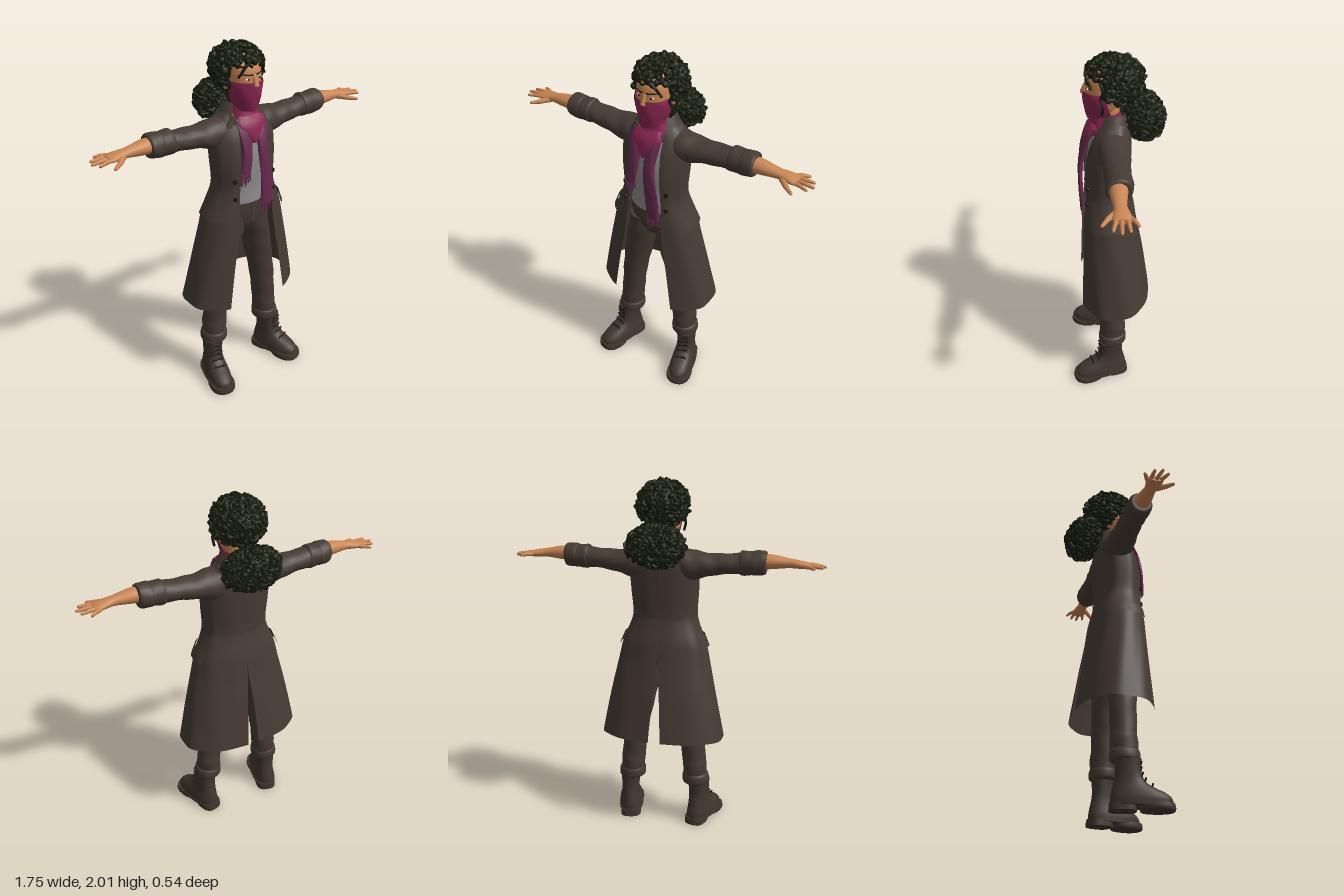
import * as THREE from 'three';
import { mergeGeometries } from 'three/addons/utils/BufferGeometryUtils.js';

const mat = (name, color, side = THREE.FrontSide) => {
  const m = new THREE.MeshStandardMaterial({ color, side });
  m.name = name;
  return m;
};
const cubic = (a, b, c, d, t) =>
  b + 0.5 * t * (c - a + t * (2 * a - 5 * b + 4 * c - d + t * (3 * (b - c) + d - a)));

// Skin through elliptical rings listed bottom to top: [y, cx, cz, rx, rz, startAngle, endAngle].
// Angle 0 faces +z and grows toward +x. fold = [amount, waves round, waves per unit of y].
function loft(rows, { seg = 24, sub = 3, e = 1, open = false, caps = true, fold = [0, 1, 0], tilt = 0 } = {}) {
  const rings = [];
  for (let i = 0; i < rows.length - 1; i++) {
    const P = [-1, 0, 1, 2].map(k => rows[Math.min(Math.max(i + k, 0), rows.length - 1)]);
    for (let s = 0; s < sub; s++) rings.push(rows[i].map((_, c) => cubic(P[0][c], P[1][c], P[2][c], P[3][c], s / sub)));
  }
  rings.push(rows[rows.length - 1]);
  const pos = [], idx = [], n = open ? seg + 1 : seg;
  const pw = v => Math.sign(v) * Math.abs(v) ** e;
  for (const [y, cx, cz, rx, rz, a0 = 0, a1 = Math.PI * 2] of rings)
    for (let j = 0; j < n; j++) {
      const a = a0 + (a1 - a0) * j / seg;
      const k = 1 + fold[0] * Math.sin(fold[1] * a + fold[2] * y);
      const z = cz + rz * k * pw(Math.cos(a));
      pos.push(cx + rx * k * pw(Math.sin(a)), y + tilt * z, z);
    }
  for (let i = 0; i < rings.length - 1; i++)
    for (let j = 0; j < seg; j++) {
      const a = i * n + j, b = i * n + (j + 1) % n;
      idx.push(a, b, b + n, a, b + n, a + n);
    }
  if (!open && caps) for (const i of [0, rings.length - 1]) {
    const base = pos.length / 3, r = rings[i];
    for (let j = 0; j < n; j++) pos.push(...pos.slice((i * n + j) * 3, (i * n + j) * 3 + 3));
    pos.push(r[1], r[0] + tilt * r[2], r[2]);
    for (let j = 0; j < n; j++) {
      const a = base + j, b = base + (j + 1) % n;
      idx.push(base + n, ...(i ? [a, b] : [b, a]));
    }
  }
  const g = new THREE.BufferGeometry();
  g.setAttribute('position', new THREE.Float32BufferAttribute(pos, 3));
  g.setIndex(idx);
  g.computeVertexNormals();
  return g;
}
// Mirror across x, keeping faces outward
function mirror(src) {
  const g = src.toNonIndexed().scale(-1, 1, 1);
  for (const key of ['position', 'normal']) {
    const at = g.attributes[key];
    for (let i = 0; i < at.count; i += 3) {
      const b = [at.getX(i + 1), at.getY(i + 1), at.getZ(i + 1)];
      at.setXYZ(i + 1, at.getX(i + 2), at.getY(i + 2), at.getZ(i + 2));
      at.setXYZ(i + 2, ...b);
    }
  }
  if (src.attributes.normal.getX(0) !== 0 && Math.sign(g.attributes.normal.getX(0)) === Math.sign(src.attributes.normal.getX(0)))
    g.computeVertexNormals();
  return g;
}

export function createModel() {
  const model = new THREE.Group();
  const D = THREE.DoubleSide;
  const coat = mat('coat brown', 0x463b34, D), trousers = mat('trouser brown', 0x453a32), boots = mat('boot brown', 0x40362f);
  const skin = mat('skin', 0xc98554), hair = mat('hair', 0x161c0a), scarf = mat('scarf pink', 0x8a2550, D);
  const scarfEnd = mat('scarf plum', 0x672a4e, D), shirt = mat('shirt grey', 0x8d898b), white = mat('eye white', 0xd8d2c8), dark = mat('dark trim', 0x1d1714);
  const add = (name, g, m) => { const o = new THREE.Mesh(g, m); o.name = name; model.add(o); return o; };
  const pair = (name, g, m) => { add(name + 'Left', g, m); add(name + 'Right', mirror(g), m); };
  const ball = (x, y, z, rx, ry, rz) => new THREE.SphereGeometry(1, 16, 12).scale(rx, ry, rz).translate(x, y, z);
  // Round bar between two points
  const bar = (a, b, r0, r1 = r0) => {
    const A = new THREE.Vector3(...a), B = new THREE.Vector3(...b), d = B.clone().sub(A);
    const g = new THREE.CapsuleGeometry(1, d.length() / r0, 4, 10).scale(r0, r0, r0);
    const p = g.attributes.position, L = d.length();
    for (let i = 0; i < p.count; i++) {
      const k = 1 + (r1 / r0 - 1) * THREE.MathUtils.clamp(p.getY(i) / L + 0.5, 0, 1);
      p.setXYZ(i, p.getX(i) * k, p.getY(i), p.getZ(i) * k);
    }
    g.applyQuaternion(new THREE.Quaternion().setFromUnitVectors(new THREE.Vector3(0, 1, 0), d.normalize()));
    A.add(B).multiplyScalar(0.5);
    return g.translate(A.x, A.y, A.z);
  };

  // Head, neck and face
  add('head', loft([[1.675, 0, .085, .03, .04], [1.7, 0, .07, .06, .07], [1.76, 0, .052, .082, .093], [1.84, 0, .045, .09, .1],
    [1.9, 0, .035, .088, .1], [1.95, 0, .01, .06, .07]]), skin);
  add('neck', new THREE.CylinderGeometry(.05, .055, .18, 20).translate(0, 1.65, .02), skin);
  add('nose', bar([0, 1.85, .14], [0, 1.805, .155], .01, .016), skin);
  pair('ear', ball(.092, 1.8, .02, .012, .03, .02), skin);
  pair('eye', ball(.036, 1.838, .133, .016, .007, .006), white);
  pair('iris', ball(.036, 1.838, .138, .006, .006, .003), dark);
  pair('eyebrow', bar([.015, 1.86, .142], [.058, 1.862, .124], .005, .003), hair);

  // Hair: solid cores covered with seeded curls
  let seed = 7;
  const rnd = () => (seed = (seed * 16807) % 2147483647) / 2147483647;
  function curls(count, c, r, keep) {
    const parts = [];
    for (let i = 0; i < count; i++) {
      const u = 1 - 2 * (i + 0.5) / count, a = i * 2.39996, s = Math.sqrt(1 - u * u), k = 0.93 + rnd() * 0.1;
      const p = [c[0] + r[0] * k * s * Math.sin(a), c[1] + r[1] * k * u, c[2] + r[2] * k * s * Math.cos(a)];
      const size = 0.013 + rnd() * 0.009, spin = [rnd() * 6, rnd() * 6, rnd() * 6];
      if (!keep(...p)) continue;
      const g = i % 2 ? new THREE.TorusGeometry(size, .007, 5, 10).toNonIndexed()
        : new THREE.IcosahedronGeometry(size, 1).scale(1.1, .75, 1);
      parts.push(g.rotateX(spin[0]).rotateY(spin[1]).rotateZ(spin[2]).translate(...p));
    }
    return mergeGeometries(parts);
  }
  add('hairCore', ball(0, 1.868, -.025, .122, .108, .13), hair);
  add('hairCurls', curls(420, [0, 1.865, -.002], [.132, .118, .145],
    (x, y, z) => !(z > 0 && y < 1.8) && !(z > .055 && y < 1.905)), hair);
  add('ponytailCore', ball(0, 1.662, -.158, .138, .095, .085), hair);
  add('ponytailCurls', curls(420, [0, 1.662, -.158], [.15, .105, .092], () => true), hair);
  const lock = pts => new THREE.TubeGeometry(new THREE.CatmullRomCurve3(pts.map(p => new THREE.Vector3(...p))), 14, .007, 6);
  pair('templeLock', lock([[.095, 1.9, .075], [.112, 1.85, .06], [.098, 1.81, .07], [.112, 1.77, .06], [.1, 1.72, .065]]), hair);
  pair('foreheadLock', lock([[.03, 1.92, .14], [.06, 1.9, .138], [.07, 1.87, .122], [.085, 1.85, .115]]), hair);

  // Scarf: face mask, neck wrap, front drape and two fringed ends
  add('faceMask', loft([[1.665, 0, .06, .058, .078, -2, 2], [1.7, 0, .05, .072, .098, -1.9, 1.9], [1.75, 0, .047, .088, .11, -1.7, 1.7],
    [1.8, 0, .046, .097, .113, -1.6, 1.6], [1.822, 0, .046, .093, .112, -1.35, 1.35]], { open: true, fold: [.012, 6, 50] }), scarf);
  add('neckWrap', loft([[1.575, 0, .05, .075, .075], [1.6, 0, .045, .092, .092], [1.635, 0, .035, .088, .088], [1.66, 0, .04, .075, .078],
    [1.7, 0, .042, .068, .078]], { fold: [.035, 3, 90], caps: false }), scarf);
  add('scarfDrape', loft([[1.5, -.005, .155, .012, .012], [1.55, 0, .145, .05, .018], [1.6, 0, .125, .085, .025], [1.64, 0, .1, .07, .02]],
    { fold: [.06, 5, 60] }), scarf);
  const scarfTail = (name, rows, fringeLength) => {
    add(name, loft(rows, { fold: [.1, 5, 25], seg: 30 }), scarfEnd);
    const [y, cx, cz, rx] = rows[0], strands = [];
    for (let i = 0; i < 8; i++) {
      const x = cx + rx * (i / 3.5 - 1) * .95;
      strands.push(bar([x, y + .01, cz], [x + .006 * Math.sin(i * 4), y - fringeLength * (.8 + .2 * Math.sin(i * 7)), cz], .0045, .003));
    }
    add(name + 'Fringe', mergeGeometries(strands), scarfEnd);
  };
  scarfTail('scarfTailLeft', [[1.14, .067, .178, .04, .01], [1.3, .058, .182, .038, .012], [1.45, .04, .175, .032, .014], [1.56, .05, .145, .035, .015],
    [1.63, .06, .1, .03, .014]], .06);
  scarfTail('scarfTailRight', [[1.33, -.075, .172, .028, .01], [1.45, -.06, .168, .03, .013], [1.56, -.058, .14, .035, .015], [1.63, -.06, .1, .03, .014]], .055);

  // Shirt and trousers
  add('shirt', loft([[1.145, 0, .035, .15, .107], [1.25, 0, .038, .14, .1], [1.4, 0, .04, .15, .105], [1.52, 0, .03, .14, .095], [1.6, 0, .02, .08, .07]],
    { fold: [.008, 7, 40] }), shirt);
  add('trouserSeat', loft([[.97, 0, .025, .075, .075], [1.02, 0, .027, .14, .097], [1.1, 0, .032, .155, .106], [1.165, 0, .033, .148, .106]]), trousers);
  add('trouserFly', new THREE.BoxGeometry(.02, .12, .008).translate(0, 1.085, .138), trousers);
  pair('trouserLeg', loft([[.27, .192, .022, .066, .07], [.36, .188, .02, .07, .074], [.42, .182, .02, .068, .071], [.6, .162, .022, .073, .076],
    [.8, .125, .022, .082, .088], [.96, .09, .026, .084, .1], [1.06, .08, .03, .078, .1]], { sub: 6, fold: [.022, 2, 42] }), trousers);
  pair('trouserCuff', loft([[.25, .195, .022, .068, .07], [.262, .195, .022, .078, .08], [.3, .193, .022, .076, .079], [.312, .192, .022, .066, .07]]), trousers);

  // Boots, toes turned outward
  const place = g => g.rotateY(.26).translate(.207, 0, .012);
  pair('boot', place(loft([[.03, 0, .085, .068, .155], [.06, 0, .085, .068, .155], [.09, 0, .07, .062, .135], [.12, 0, .042, .055, .1],
    [.15, 0, .027, .052, .078], [.19, 0, .022, .053, .068], [.24, 0, .02, .056, .068], [.262, 0, .02, .058, .07]], { e: .85 })), boots);
  pair('bootSole', place(loft([[0, 0, .165, .07, .086], [.012, 0, .165, .075, .09], [.035, 0, .165, .073, .086]], { e: .85 })), boots);
  pair('bootHeel', place(loft([[0, 0, -.008, .06, .07], [.035, 0, -.008, .06, .068]], { e: .7 })), boots);
  pair('bootWelt', place(loft([[.024, 0, .085, .073, .162], [.04, 0, .085, .073, .162]], { e: .85 })), boots);
  const laces = [];
  for (let i = 0; i < 5; i++) {
    const y = .115 + i * .028, z = [.146, .112, .097, .091, .091][i];
    laces.push(bar([-.028, y, z - .008], [.028, y + .016, z - .004], .005), bar([.028, y, z - .008], [-.028, y + .016, z - .004], .005));
  }
  pair('bootLaces', place(mergeGeometries(laces)), dark);

  // Long coat, open at the front and vented at the back
  const e = .87;
  const skirt = [[.55, .005, .355, .208, .19, .035], [.8, .018, .305, .182, .155, .02], [.98, .03, .265, .16, .125, .004], [1.1, .035, .238, .148, .112, 0],
    [1.2, .042, .198, .132, .105, 0], [1.27, .045, .182, .126, .1, 0], [1.4, .04, .19, .128, .093, 0], [1.52, .025, .192, .118, .085, 0],
    [1.59, .012, .17, .1, .08, 0], [1.64, .004, .125, .083, .075, 0], [1.665, 0, .095, .072, .07, 0]];
  const angle = (x, r) => Math.asin((x / r) ** (1 / e));
  pair('coatBody', loft(skirt.map(([y, cz, rx, rz, edge, vent]) => [y, 0, cz, rx, rz, angle(edge, rx), Math.PI - angle(vent, rx)]),
    { open: true, e, seg: 36, sub: 4, tilt: -.05, fold: [.01, 9, 6] }), coat);
  pair('pocketFlap', loft([[1.085, 0, .035, .256, .16, .85, 1.95], [1.15, 0, .04, .228, .147, .85, 1.95]], { open: true, e, tilt: -.05 }), coat);
  add('collar', loft([[1.615, 0, .008, .135, .1, .85, 5.43], [1.65, 0, .004, .115, .09, .8, 5.48], [1.7, 0, 0, .086, .075, .85, 5.43]], { open: true }), coat);
  const outline = new THREE.Shape([[.095, 1.27], [.135, 1.42], [.15, 1.53], [.118, 1.545], [.135, 1.585], [.1, 1.645], [.07, 1.63], [.075, 1.45]]
    .map(p => new THREE.Vector2(...p)));
  const lapel = new THREE.ExtrudeGeometry(outline, { depth: .008, bevelEnabled: false });
  const lp = lapel.attributes.position;
  for (let i = 0; i < lp.count; i++) {
    const x = lp.getX(i), y = lp.getY(i);
    lp.setZ(i, lp.getZ(i) + .163 - Math.max(0, y - 1.4) * .32 - Math.max(0, x - .08) * .55);
  }
  lapel.computeVertexNormals();
  pair('lapel', lapel, coat);
  for (const y of [1.2, 1.3])
    pair('coatButton', new THREE.CylinderGeometry(.012, .012, .01, 14).rotateX(Math.PI / 2).rotateY(.5).translate(.13, y, y > 1.25 ? .148 : .15), dark);
  add('backBelt', loft([[1.25, 0, .045, .19, .132, 2.4, 3.88], [1.285, 0, .045, .19, .132, 2.4, 3.88]], { open: true, e }), coat);

  // Arms are lofted upright, then laid along x
  const arm = (rows, o) => loft(rows.map(([x, y, z, h, d]) => [x, -y, z, h, d]), o).rotateZ(-Math.PI / 2);
  pair('sleeve', arm([[.1, 1.545, .008, .095, .085], [.17, 1.543, .006, .082, .086], [.24, 1.547, .006, .066, .078], [.33, 1.556, .006, .056, .07],
    [.45, 1.565, .006, .056, .062]], { sub: 6, fold: [.03, 2, 55] }), coat);
  pair('sleeveCuff', arm([[.425, 1.565, .006, .055, .058], [.435, 1.566, .006, .067, .067], [.49, 1.567, .006, .063, .066], [.5, 1.568, .006, .066, .069],
    [.555, 1.572, .008, .064, .066], [.566, 1.573, .01, .05, .054]], { fold: [.025, 3, 60] }), coat);
  pair('forearm', arm([[.52, 1.578, .012, .044, .047], [.6, 1.578, .014, .038, .042], [.68, 1.575, .015, .026, .032], [.72, 1.572, .012, .023, .036],
    [.765, 1.568, .01, .019, .045], [.79, 1.566, .01, .014, .042]], {}), skin);
  const fingers = [[-.032, -.058, .815], [-.012, -.02, .853], [.014, .018, .866], [.036, .055, .845]]
    .flatMap(([z0, z1, x]) => [bar([.77, 1.567, z0], [(x + .77) / 2, 1.567, (z0 + z1) / 2], .0115, .0105),
      bar([(x + .77) / 2, 1.567, (z0 + z1) / 2], [x, 1.562, z1], .0105, .008)]);
  fingers.push(bar([.71, 1.565, .03], [.755, 1.556, .075], .017, .013), bar([.755, 1.556, .075], [.79, 1.55, .1], .0125, .009));
  pair('fingers', mergeGeometries(fingers), skin);

  return model;
}
